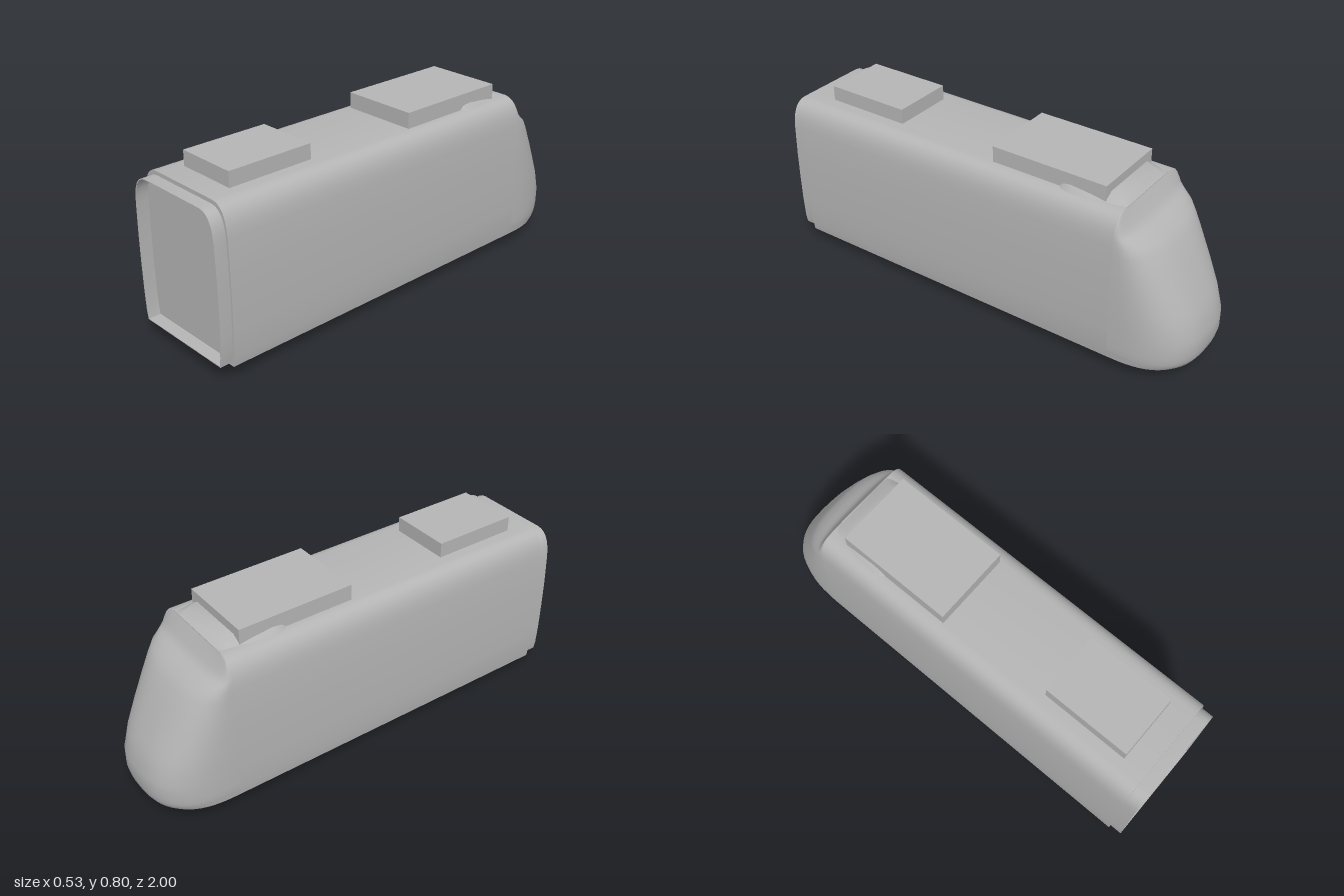
import * as THREE from 'three';
import { toCreasedNormals } from 'three/addons/utils/BufferGeometryUtils.js';

// half cross-section of the car: [half width, height]
const SECTION = [
  [0.25, 0.058], [0.257, 0.1], [0.262, 0.2], [0.264, 0.33], [0.264, 0.46], [0.26, 0.6],
  [0.256, 0.64], [0.249, 0.672], [0.237, 0.698], [0.222, 0.715], [0.203, 0.726], [0.18, 0.73],
];
// nose centre line: [height, reach beyond the body]
const NOSE = [
  [0.058, 0.29], [0.07, 0.308], [0.09, 0.32], [0.13, 0.33], [0.2, 0.328], [0.29, 0.3], [0.39, 0.253],
  [0.5, 0.195], [0.56, 0.16], [0.6, 0.13], [0.625, 0.09], [0.65, 0.052], [0.69, 0.026], [0.73, 0.002],
];
const NOSE_Z = -0.67, BODY_END = 0.945;

// linear lookup in a list of [key, value]
function lookup(list, k) {
  for (let i = 1; i < list.length; i++) {
    const [a, va] = list[i - 1], [b, vb] = list[i];
    if (k <= b) return va + (vb - va) * Math.max(0, (k - a) / (b - a));
  }
  return list[list.length - 1][1];
}

// skin over equal-length rows of [x, y, z]
function loft(rows, crease) {
  const n = rows[0].length, index = [];
  for (let i = 0; i < rows.length - 1; i++) {
    for (let j = 0; j < n - 1; j++) {
      const a = i * n + j, b = a + 1, c = a + n, d = c + 1;
      index.push(a, b, d, a, d, c);
    }
  }
  const g = new THREE.BufferGeometry();
  g.setAttribute('position', new THREE.Float32BufferAttribute(rows.flat(2), 3));
  g.setIndex(index);
  return toCreasedNormals(g, crease);
}

// closed outline of the section, scaled about its middle
function outline(sx, sy) {
  const mid = 0.394;
  const half = SECTION.map(([x, y]) => new THREE.Vector2(x * sx, mid + (y - mid) * sy));
  return half.concat(half.map((p) => new THREE.Vector2(-p.x, p.y)).reverse());
}

export function createModel() {
  const model = new THREE.Group();
  model.name = 'trainCar';
  const grey = new THREE.MeshStandardMaterial({ color: 0xb5b5b5, side: THREE.DoubleSide });
  grey.name = 'plain grey';
  const add = (name, geometry, x = 0, y = 0, z = 0) => {
    const mesh = new THREE.Mesh(geometry, grey);
    mesh.name = name;
    mesh.position.set(x, y, z);
    model.add(mesh);
    return mesh;
  };

  // long body with a rounded roof
  const body = new THREE.ExtrudeGeometry(new THREE.Shape(outline(1, 1)), { depth: BODY_END - NOSE_Z, bevelEnabled: false });
  add('body', toCreasedNormals(body, 0.6), 0, 0, NOSE_Z);

  // thin open collar around the gangway end
  const ring = new THREE.Shape(outline(0.965, 0.95));
  ring.holes.push(new THREE.Path(outline(0.95, 0.94).reverse()));
  const collar = new THREE.ExtrudeGeometry(ring, { depth: 1 - BODY_END, bevelEnabled: false });
  add('endCollar', toCreasedNormals(collar, 0.6), 0, 0, BODY_END);

  // streamlined nose: rounded plan outlines stacked by height
  const widths = SECTION.map(([x, y]) => [y, x]);
  const heights = [...new Set([...NOSE.map((p) => p[0]), ...SECTION.map((p) => p[1])])].sort((a, b) => a - b);
  const planRow = (y, w, d) => Array.from({ length: 33 }, (_, j) => {
    const t = (j / 32) * Math.PI, c = Math.cos(t), s = Math.max(0, Math.sin(t));
    return [w * Math.sign(c) * Math.abs(c) ** 0.74, y, NOSE_Z - d * s ** 0.74];
  });
  const noseRows = heights.map((y) => planRow(y, lookup(widths, y), lookup(NOSE, y)));
  noseRows.unshift(planRow(heights[0], 0.001, 0.001));
  add('nose', loft(noseRows, 0.7));

  // low fairing on the roof: [z, base half width, shoulder x, shoulder y, crown y]
  const stations = [
    [-0.35, 0.17, 0.15, 0.729, 0.729], [-0.39, 0.197, 0.175, 0.747, 0.75], [-0.43, 0.203, 0.18, 0.751, 0.755],
    [-0.52, 0.198, 0.178, 0.742, 0.759], [-0.585, 0.185, 0.17, 0.74, 0.76], [-0.63, 0.18, 0.165, 0.735, 0.748],
    [-0.668, 0.175, 0.16, 0.729, 0.73],
  ];
  add('roofFairing', loft(stations.map(([z, b, sx, sy, top]) => [
    [-b, 0.722, z], [-sx, sy, z], [-sx * 0.8, top, z], [sx * 0.8, top, z], [sx, sy, z], [b, 0.722, z],
  ]), 0.6));

  // roof equipment boxes
  add('largeRoofUnit', new THREE.BoxGeometry(0.354, 0.08, 0.53), 0, 0.76, -0.32);
  add('smallRoofUnit', new THREE.BoxGeometry(0.284, 0.08, 0.392), 0, 0.757, 0.644);

  // eight-sided wheels half sunk into the floor
  for (const side of [-1, 1]) {
    for (const z of [-0.035, 0.36]) {
      const wheel = new THREE.CylinderGeometry(0.06, 0.06, 0.022, 8).rotateZ(Math.PI / 2);
      add(side > 0 ? 'leftWheel' : 'rightWheel', toCreasedNormals(wheel, 0.9), side * 0.166, 0.06, z);
    }
  }
  return model;
}
